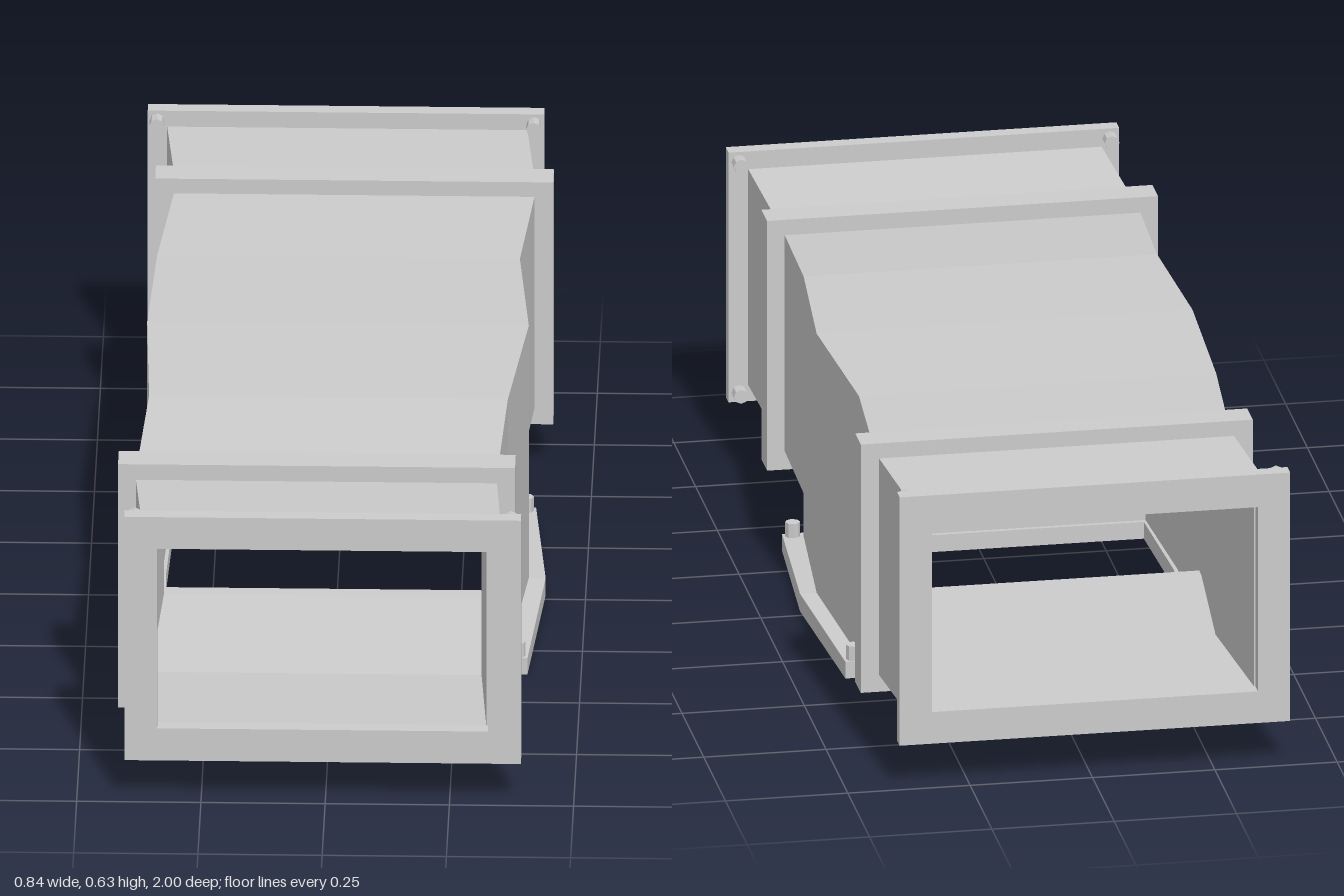
import * as THREE from 'three';

const mat = new THREE.MeshStandardMaterial({ color: 0xcccccc, flatShading: true, side: THREE.DoubleSide });
const T = 0.03; // wall thickness

// Duct outline along its length: z, left x, right x, bottom y, top y
const PROFILE = [
  [-0.97, -0.365, 0.36, 0.133, 0.595],
  [-0.67, -0.34, 0.385, 0.133, 0.6],
  [-0.34, -0.37, 0.36, 0.133, 0.597],
  [0, -0.382, 0.386, 0.133, 0.605],
  [0.34, -0.37, 0.352, 0.13, 0.597],
  [0.67, -0.39, 0.337, 0.107, 0.572],
  [0.97, -0.368, 0.354, 0.127, 0.592],
];

// Outline interpolated at any z
function at(z) {
  let i = 0;
  while (i < PROFILE.length - 2 && PROFILE[i + 1][0] < z) i++;
  const a = PROFILE[i], b = PROFILE[i + 1];
  const t = (z - a[0]) / (b[0] - a[0]);
  return a.map((v, k) => v + (b[k] - v) * t);
}

// Solid bar through rectangular sections [z, x0, x1, y0, y1], z ascending
function loft(sections) {
  const loops = sections.map(([z, x0, x1, y0, y1]) => [[x0, y0, z], [x1, y0, z], [x1, y1, z], [x0, y1, z]]);
  const pos = [];
  const quad = (a, b, c, d) => pos.push(...a, ...b, ...c, ...a, ...c, ...d);
  for (let s = 0; s < loops.length - 1; s++) {
    const p = loops[s], q = loops[s + 1];
    for (let i = 0; i < 4; i++) {
      const j = (i + 1) % 4;
      quad(p[i], p[j], q[j], q[i]);
    }
  }
  const f = loops[0], l = loops[loops.length - 1];
  quad(f[3], f[2], f[1], f[0]);
  quad(l[0], l[1], l[2], l[3]);
  const g = new THREE.BufferGeometry();
  g.setAttribute('position', new THREE.Float32BufferAttribute(pos, 3));
  g.computeVertexNormals();
  return g;
}

// Rectangular frame lying across the duct, with an opening
function frame([x0, x1, y0, y1], [a0, a1, b0, b1], z0, z1) {
  const shape = new THREE.Shape([[x0, y0], [x1, y0], [x1, y1], [x0, y1]].map(p => new THREE.Vector2(...p)));
  shape.holes.push(new THREE.Path([[a0, b0], [a0, b1], [a1, b1], [a1, b0]].map(p => new THREE.Vector2(...p))));
  return new THREE.ExtrudeGeometry(shape, { depth: z1 - z0, bevelEnabled: false }).translate(0, 0, z0);
}

export function createModel() {
  const model = new THREE.Group();
  const add = (name, geometry, parent = model) => {
    const mesh = new THREE.Mesh(geometry, mat);
    mesh.name = name;
    parent.add(mesh);
    return mesh;
  };
  const group = (name) => {
    const g = new THREE.Group();
    g.name = name;
    model.add(g);
    return g;
  };

  // Duct walls; the side walls drop down between z = -0.34 and 0.34 to form the branch
  const duct = group('duct');
  const B = 0.34, drop = 0.03;
  const side = (wall) => {
    const out = [];
    for (const [z, l, r, b, t] of PROFILE) {
      const [x0, x1] = wall === 'left' ? [r - T, r] : [l, l + T];
      const high = [z, x0, x1, b, t], low = [z, x0, x1, drop, t];
      if (z === -B) out.push(high, low);
      else if (z === B) out.push(low, high);
      else out.push(z === 0 ? low : high);
    }
    return loft(out);
  };
  add('leftWall', side('left'), duct);
  add('rightWall', side('right'), duct);
  add('topWall', loft(PROFILE.map(([z, l, r, , t]) => [z, l + T, r - T, t - T, t])), duct);
  const floor = zs => loft(zs.map(at).map(([z, l, r, b]) => [z, l + T, r - T, b, b + T]));
  add('frontFloor', floor([B - T, B, 0.67, 0.97]), duct);
  add('backFloor', floor([-0.97, -0.67, -B, T - B]), duct);

  // Branch end walls
  const endWall = zs => loft(zs.map(at).map(([z, l, r, b]) => [z, l + T, r - T, drop, b + 0.005]));
  add('branchFrontWall', endWall([B - T, B]), duct);
  add('branchBackWall', endWall([-B, T - B]), duct);

  // Gently bowed flange under the branch
  const flange = group('branchFlange');
  const F = 0.365, H = 0.3;
  const bow = z => 1 - Math.abs(z) / F;
  const strip = (zs, edges) => loft(zs.map(z => {
    const k = bow(z);
    return [z, ...edges(-0.402 - 0.01 * k, 0.392 + 0.028 * k), 0.009 * k, 0.036 + 0.011 * k];
  }));
  add('flangeRightStrip', strip([-F, -H, 0, H, F], (l) => [l, l + 0.068]), flange);
  add('flangeLeftStrip', strip([-F, -H, 0, H, F], (l, r) => [r - 0.068, r]), flange);
  add('flangeFrontStrip', strip([H, F], (l, r) => [l + 0.068, r - 0.068]), flange);
  add('flangeBackStrip', strip([-F, -H], (l, r) => [l + 0.068, r - 0.068]), flange);

  // End flanges
  const opening = [-0.338, 0.328, 0.163, 0.56];
  add('frontFlange', frame([-0.404, 0.394, 0.092, 0.63], opening, 0.968, 1));
  add('backFlange', frame([-0.404, 0.394, 0.095, 0.63], opening, -1, -0.968));

  // Reinforcing collars around the duct
  const collar = (name, outer, z) => {
    const [, l, r, b, t] = at(z);
    const k = T / 2;
    add(name, frame(outer, [l + k, r - k, b + k, t - k], z - 0.032, z + 0.032));
  };
  collar('frontCollar', [-0.424, 0.375, 0.07, 0.608], 0.665);
  collar('backCollar', [-0.381, 0.42, 0.097, 0.632], -0.667);

  // Bolts on the corners of the three flanges
  const bolts = group('bolts');
  const boltGeo = new THREE.CylinderGeometry(0.015, 0.015, 0.034, 8);
  for (const x of [-0.385, 0.373]) {
    for (const s of [-1, 1]) {
      add('branchBolt', boltGeo, bolts).position.set(x, 0.05, s * 0.35);
      for (const y of [0.113, 0.609]) {
        const bolt = add('endBolt', boltGeo, bolts);
        bolt.rotation.x = Math.PI / 2;
        bolt.position.set(x, y, s * 0.957);
      }
    }
  }
  return model;
}
